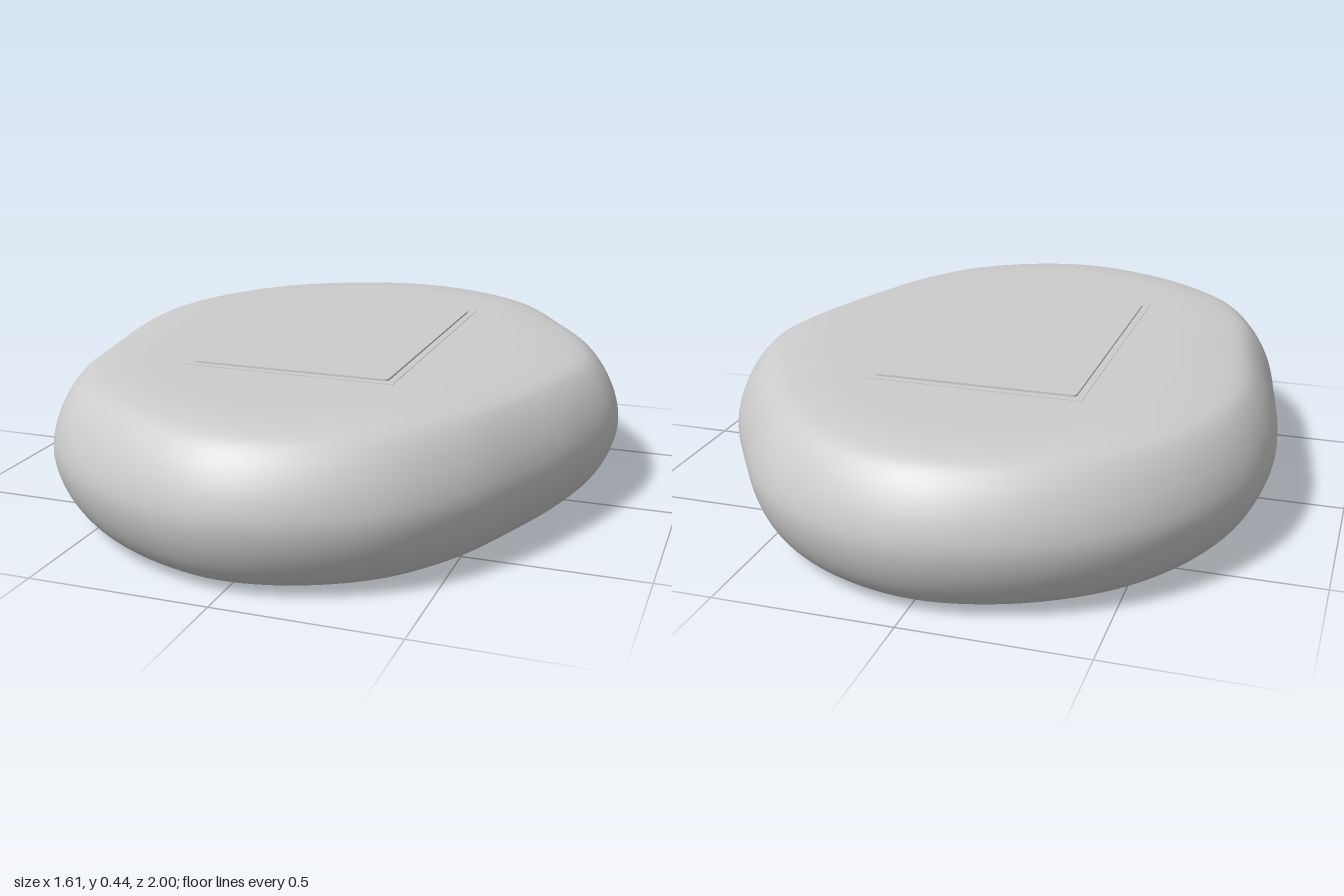
import * as THREE from 'three';

const stone = new THREE.MeshStandardMaterial({ color: 0xcccccc });
stone.name = 'stone grey';

// Pebble outline seen from above (x, z), starting at the back
const OUTLINE = [
  [-0.02, -1], [0.22, -0.95], [0.43, -0.82], [0.61, -0.58], [0.745, -0.345],
  [0.805, -0.1], [0.765, 0.16], [0.675, 0.42], [0.56, 0.66], [0.4, 0.85],
  [0.19, 0.965], [-0.02, 1], [-0.235, 0.95], [-0.45, 0.83], [-0.61, 0.67],
  [-0.71, 0.46], [-0.755, 0.24], [-0.797, -0.03], [-0.805, -0.21],
  [-0.77, -0.42], [-0.66, -0.645], [-0.5, -0.82], [-0.27, -0.95],
];
// Upper half of the rim: inset from the outline, height above the middle
const RIM = [
  [0, 0], [0.012, 0.065], [0.04, 0.125], [0.075, 0.17], [0.11, 0.194],
  [0.16, 0.206], [0.23, 0.213], [0.3, 0.215],
];
const MID = 0.215;

function makeBody() {
  const outline = new THREE.CatmullRomCurve3(
    OUTLINE.map(([x, z]) => new THREE.Vector3(x, 0, z)), true, 'centripetal');
  const around = 160;
  const edge = outline.getSpacedPoints(around).slice(0, around);

  const full = [
    ...RIM.slice(1).reverse().map(([i, h]) => new THREE.Vector2(i, -h)),
    ...RIM.map(([i, h]) => new THREE.Vector2(i, h)),
  ];
  const section = new THREE.SplineCurve(full).getPoints(56);

  // One ring of points per step of the rim, bottom to top
  const pos = [], index = [];
  for (const s of section) {
    for (const p of edge) {
      const k = 1 - s.x / p.length();
      pos.push(p.x * k, MID + s.y, p.z * k);
    }
  }
  const rings = section.length;
  for (let r = 0; r < rings - 1; r++) {
    for (let i = 0; i < around; i++) {
      const j = (i + 1) % around;
      const a = r * around + i, b = r * around + j;
      index.push(a, a + around, b, b, a + around, b + around);
    }
  }
  // Close the flat bottom and top
  const bottom = pos.length / 3, top = bottom + 1, last = (rings - 1) * around;
  pos.push(0, 0, 0, 0, 2 * MID, 0);
  for (let i = 0; i < around; i++) {
    const j = (i + 1) % around;
    index.push(bottom, i, j, top, last + j, last + i);
  }
  const geo = new THREE.BufferGeometry();
  geo.setAttribute('position', new THREE.Float32BufferAttribute(pos, 3));
  geo.setIndex(index);
  geo.computeVertexNormals();
  return geo;
}

// Thin flat plate with rounded corners, lying on the top face
function makePlate(w, d, radius, y0, y1) {
  const x = w / 2, z = d / 2, r = radius;
  const s = new THREE.Shape();
  s.moveTo(-x + r, -z);
  s.lineTo(x - r, -z);
  s.quadraticCurveTo(x, -z, x, -z + r);
  s.lineTo(x, z - r);
  s.quadraticCurveTo(x, z, x - r, z);
  s.lineTo(-x + r, z);
  s.quadraticCurveTo(-x, z, -x, z - r);
  s.lineTo(-x, -z + r);
  s.quadraticCurveTo(-x, -z, -x + r, -z);
  const geo = new THREE.ExtrudeGeometry(s, { depth: y1 - y0, bevelEnabled: false, curveSegments: 4 });
  geo.rotateX(-Math.PI / 2);
  geo.translate(-0.022, y0, -0.02);
  return geo;
}

export function createModel() {
  const model = new THREE.Group();
  model.name = 'pebble';
  const add = (name, geo) => {
    const mesh = new THREE.Mesh(geo, stone);
    mesh.name = name;
    model.add(mesh);
  };
  add('body', makeBody());
  add('panelFrame', makePlate(0.61, 0.895, 0.002, 0.425, 0.4315));
  add('panel', makePlate(0.57, 0.85, 0.015, 0.428, 0.437));
  return model;
}
